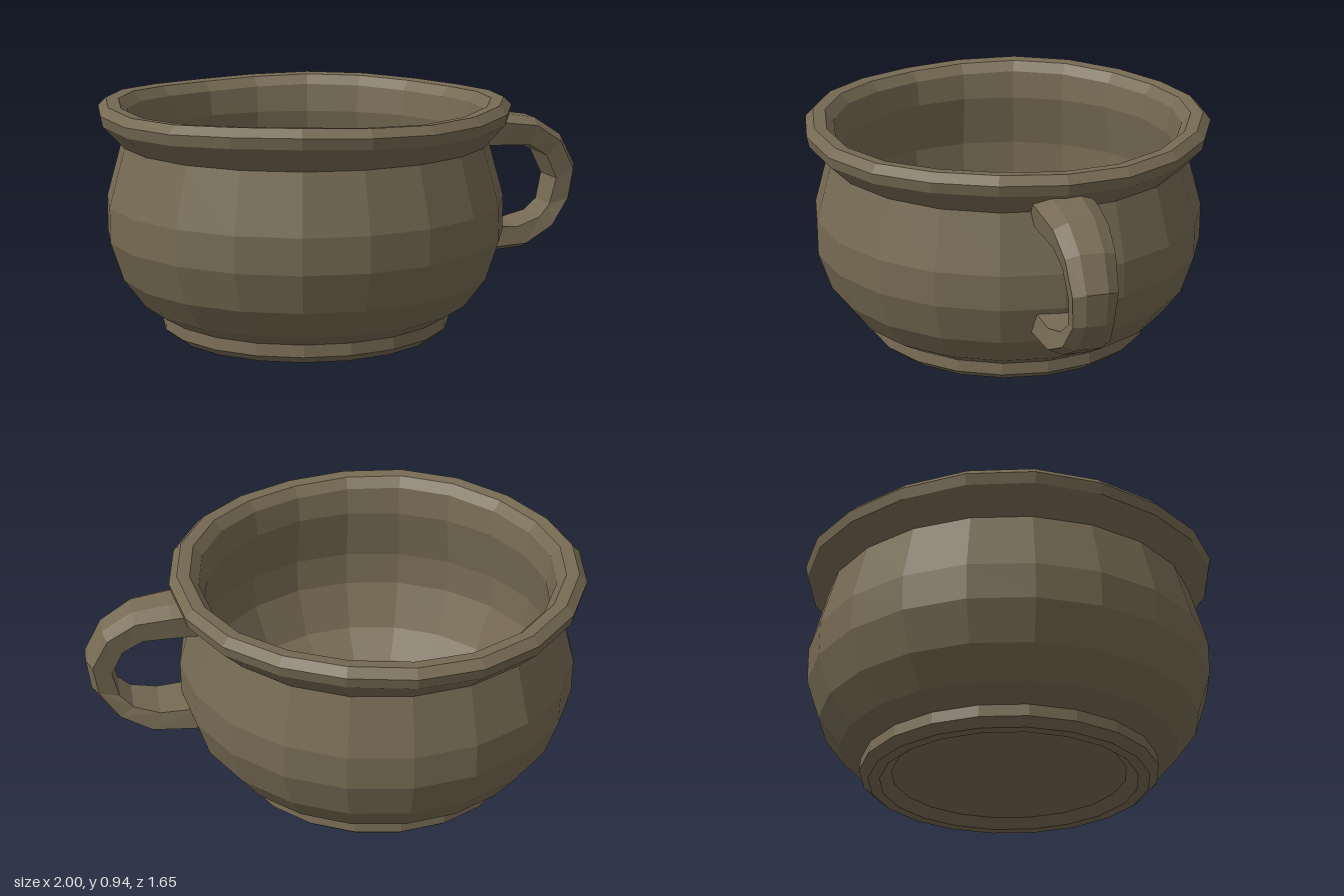
import * as THREE from 'three';

const clay = new THREE.MeshStandardMaterial({ color: 0x766a53, flatShading: true });
clay.name = 'brown clay';

const AXIS_X = -0.175;
const SIDES = 20;

// Closed pot profile [radius, y]: underside, outer wall, rim, then down the inside.
const PROFILE = [
  [0, 0.035], [0.46, 0.035], [0.505, 0], [0.55, 0], [0.585, 0.03], [0.58, 0.078],
  [0.665, 0.13], [0.75, 0.245], [0.8, 0.4], [0.8, 0.54], [0.735, 0.772],
  [0.818, 0.86], [0.827, 0.903], [0.795, 0.935], [0.745, 0.93],
  [0.71, 0.89], [0.695, 0.78], [0.73, 0.56], [0.72, 0.42], [0.64, 0.235],
  [0.52, 0.14], [0.35, 0.12], [0, 0.12],
];

function makePot() {
  const geo = new THREE.LatheGeometry(PROFILE.map(([r, y]) => new THREE.Vector2(r, y)), SIDES);
  const pos = geo.attributes.position;
  // The rim is slightly uneven, as if formed by hand.
  for (let i = 0; i < pos.count; i++) {
    const y = pos.getY(i);
    if (y < 0.85) continue;
    const a = Math.atan2(pos.getX(i), pos.getZ(i));
    pos.setY(i, y + 0.007 * Math.cos(4 * a + 1.6));
  }
  geo.computeVertexNormals();
  const pot = new THREE.Mesh(geo, clay);
  pot.name = 'pot';
  pot.position.x = AXIS_X;
  return pot;
}

// Handle sections: outer x, y, inner x, y, half width.
const HANDLE = [
  [0.545, 0.85, 0.545, 0.72, 0.118],
  [0.66, 0.842, 0.64, 0.718, 0.116],
  [0.805, 0.82, 0.77, 0.71, 0.106],
  [0.928, 0.74, 0.852, 0.66, 0.096],
  [0.998, 0.61, 0.9, 0.56, 0.087],
  [0.983, 0.48, 0.875, 0.45, 0.078],
  [0.897, 0.35, 0.825, 0.4, 0.092],
  [0.765, 0.275, 0.72, 0.37, 0.11],
  [0.55, 0.262, 0.55, 0.38, 0.12],
];
// Cross-section corners: share of half width, share of the way to the inside.
const RING = [[0.48, 0], [1, 0.25], [0.9, 1], [-0.9, 1], [-1, 0.25], [-0.48, 0]];

function makeHandle() {
  const verts = [];
  const index = [];
  const n = RING.length;
  HANDLE.forEach(([ox, oy, ix, iy, w], s) => {
    RING.forEach(([side, depth], j) => {
      verts.push(ox + (ix - ox) * depth, oy + (iy - oy) * depth, side * w);
      if (s === HANDLE.length - 1) return;
      const a = s * n + j;
      const b = s * n + (j + 1) % n;
      index.push(a, b, a + n, b, b + n, a + n);
    });
  });
  const geo = new THREE.BufferGeometry();
  geo.setAttribute('position', new THREE.Float32BufferAttribute(verts, 3));
  geo.setIndex(index);
  geo.computeVertexNormals();
  const handle = new THREE.Mesh(geo, clay);
  handle.name = 'handle';
  return handle;
}

export function createModel() {
  const model = new THREE.Group();
  model.name = 'handledPot';
  model.add(makePot(), makeHandle());
  return model;
}
